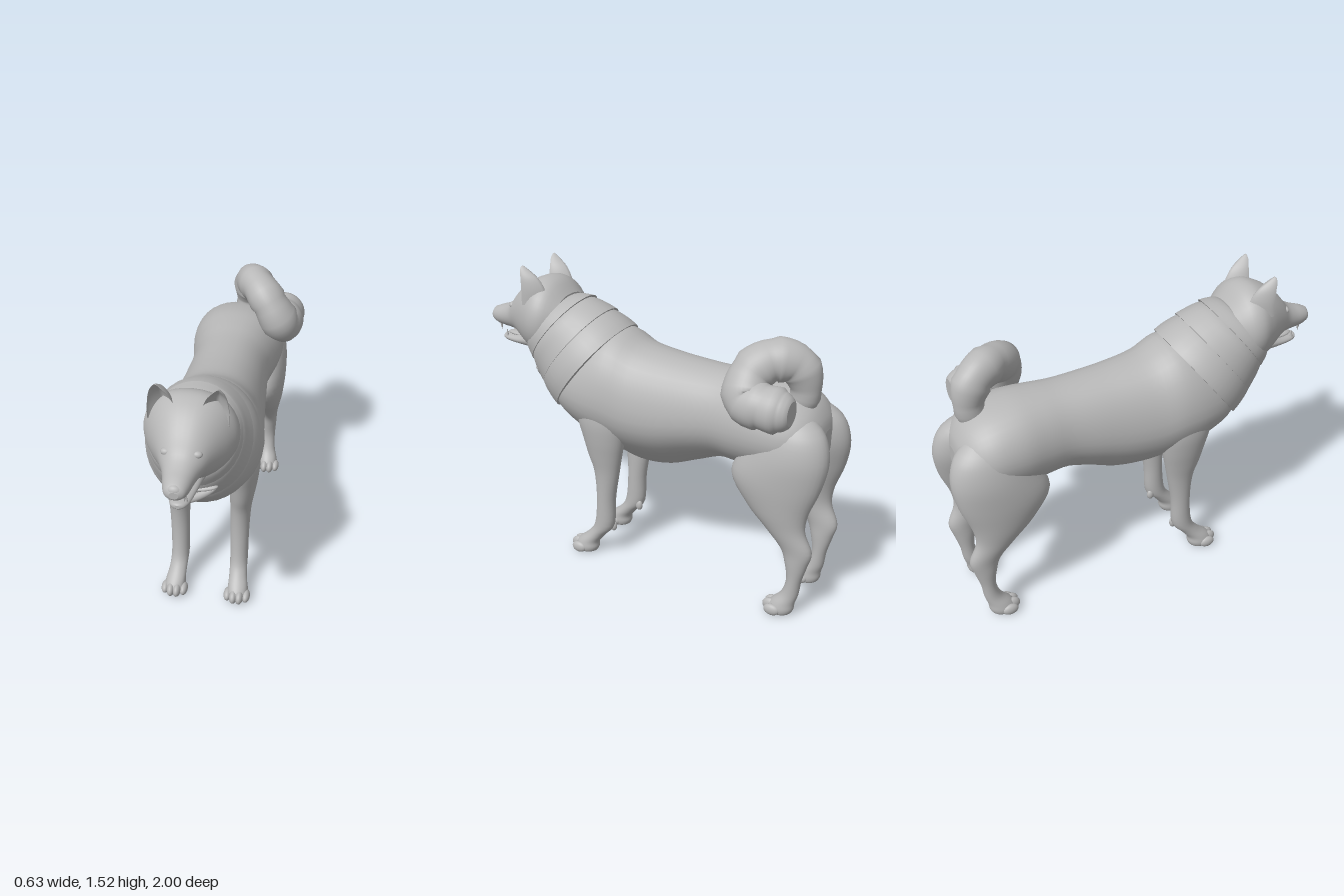
import * as THREE from 'three';

const fur = new THREE.MeshStandardMaterial({ color: 0xb8b8b8 });
fur.name = 'grey fur';
const SIDES = 36;

// Smoothly interpolates rows of numbers (Catmull-Rom), n steps per gap
function smooth(rows, n = 4) {
  const out = [], last = rows.length - 1;
  for (let i = 0; i < last; i++) {
    const [a, b, c, d] = [rows[Math.max(i - 1, 0)], rows[i], rows[i + 1], rows[Math.min(i + 2, last)]];
    for (let k = 0; k < n; k++) {
      const t = k / n;
      out.push(b.map((v, j) => v + 0.5 * t * (c[j] - a[j] + t * (2 * a[j] - 5 * v + 4 * c[j] - d[j] + t * (3 * (v - c[j]) + d[j] - a[j])))));
    }
  }
  out.push(rows[last]);
  return out;
}

// Closed skin over rings of points, wound outward
function loft(name, rings) {
  const pos = [], idx = [], n = rings[0].length;
  rings.forEach(r => r.forEach(p => pos.push(p.x, p.y, p.z)));
  for (let i = 0; i < rings.length - 1; i++) {
    for (let j = 0; j < n; j++) {
      const a = i * n + j, b = i * n + (j + 1) % n;
      idx.push(a, b, a + n, b, b + n, a + n);
    }
  }
  [0, rings.length - 1].forEach((r, end) => {
    const c = rings[r].reduce((s, p) => s.add(p), new THREE.Vector3()).divideScalar(n);
    const base = pos.length / 3;
    rings[r].forEach(p => pos.push(p.x, p.y, p.z));
    pos.push(c.x, c.y, c.z);
    for (let j = 0; j < n; j++) {
      const a = base + j, b = base + (j + 1) % n;
      if (end) idx.push(a, b, base + n); else idx.push(b, a, base + n);
    }
  });
  const at = i => new THREE.Vector3().fromArray(pos, i * 3);
  let volume = 0;
  for (let i = 0; i < idx.length; i += 3) volume += at(idx[i]).dot(at(idx[i + 1]).cross(at(idx[i + 2])));
  if (volume < 0) idx.reverse();
  const g = new THREE.BufferGeometry();
  g.setAttribute('position', new THREE.Float32BufferAttribute(pos, 3));
  g.setIndex(idx);
  g.computeVertexNormals();
  const m = new THREE.Mesh(g, fur);
  m.name = name;
  return m;
}

const ring = f => Array.from({ length: SIDES }, (_, i) => {
  const a = i / SIDES * Math.PI * 2;
  return f(Math.cos(a), Math.sin(a));
});

// Upright section: [z, top, bottom, halfWidth, keel], keel > 1 narrows the underside
const crossRing = ([z, top, bot, w, keel = 0.9]) => ring((c, s) => new THREE.Vector3(
  w * Math.sign(c) * Math.pow(Math.abs(c), s < 0 ? keel : 0.9), (top + bot) / 2 + s * (top - bot) / 2, z));

// Level section: [x, y, z, rx, rz]
const levelRing = side => ([x, y, z, rx, rz]) => ring((c, s) => new THREE.Vector3(side * (x + rx * c), y, z + rz * s));

// Leaning neck section: [y, z, halfHeight, halfWidth]
const neckRing = ([y, z, h, w]) => ring((c, s) => new THREE.Vector3(w * c, y + 0.8 * h * s, z - 0.6 * h * s));

function blob(name, x, y, z, rx, ry, rz) {
  const m = new THREE.Mesh(new THREE.SphereGeometry(1, 20, 14), fur);
  m.name = name;
  m.position.set(x, y, z);
  m.scale.set(rx, ry, rz);
  return m;
}

export function createModel() {
  const root = new THREE.Group();
  root.name = 'dog';
  const dog = new THREE.Group();
  dog.name = 'body';
  dog.position.x = -0.035;
  root.add(dog);

  // Trunk from chest to rump, keeled along the belly
  dog.add(loft('trunk', smooth([
    [0.5, 1.05, 0.772, 0.18, 1.1], [0.42, 1.15, 0.7, 0.235, 1.3], [0.3, 1.22, 0.61, 0.265, 1.8], [0.18, 1.243, 0.56, 0.268, 2.1],
    [0.05, 1.19, 0.54, 0.248, 2.2], [-0.1, 1.168, 0.56, 0.23, 2.1], [-0.25, 1.157, 0.62, 0.215, 1.9], [-0.4, 1.152, 0.68, 0.205, 1.5],
    [-0.52, 1.157, 0.69, 0.22, 1.2], [-0.65, 1.157, 0.7, 0.242, 1.1], [-0.78, 1.13, 0.72, 0.238, 1],
    [-0.87, 1.08, 0.74, 0.2, 1], [-0.92, 1.01, 0.78, 0.14, 1], [-0.935, 0.95, 0.84, 0.06, 1]]).map(crossRing)));

  // Overlapping neck fur layers
  dog.add(loft('shoulderRuff', smooth([[1.15, 0.52, 0.22, 0.2], [1.09, 0.45, 0.273, 0.245], [1.045, 0.39, 0.292, 0.268], [1.01, 0.345, 0.298, 0.275]]).map(neckRing)));
  dog.add(loft('neckRuff', smooth([[1.2, 0.58, 0.19, 0.18], [1.17, 0.54, 0.233, 0.216], [1.13, 0.49, 0.262, 0.234], [1.095, 0.445, 0.278, 0.25]]).map(neckRing)));
  dog.add(loft('cheekRuff', smooth([[1.23, 0.64, 0.14, 0.15], [1.21, 0.6, 0.195, 0.2], [1.18, 0.545, 0.235, 0.22]]).map(neckRing)));

  // Head and jaws
  dog.add(loft('head', smooth([
    [0.5, 1.37, 1.12, 0.16], [0.56, 1.43, 1.05, 0.205], [0.62, 1.45, 1.035, 0.213], [0.68, 1.435, 1.045, 0.188],
    [0.74, 1.4, 1.075, 0.152], [0.8, 1.345, 1.115, 0.114], [0.85, 1.285, 1.127, 0.085], [0.9, 1.255, 1.13, 0.069],
    [0.95, 1.237, 1.135, 0.058], [0.985, 1.22, 1.15, 0.044], [1, 1.2, 1.165, 0.02]]).map(crossRing)));
  dog.add(loft('lowerJaw', smooth([
    [0.66, 1.16, 1.04, 0.1], [0.74, 1.13, 1.043, 0.078], [0.82, 1.1, 1.045, 0.06],
    [0.89, 1.09, 1.048, 0.046], [0.925, 1.087, 1.055, 0.03], [0.935, 1.08, 1.062, 0.01]]).map(crossRing)));
  dog.add(blob('tongue', 0, 1.096, 0.83, 0.035, 0.014, 0.08));
  dog.add(blob('nose', 0, 1.198, 0.978, 0.034, 0.026, 0.022));

  for (const side of [1, -1]) {
    const label = side > 0 ? 'left' : 'right';
    dog.add(blob(label + 'Eye', side * 0.067, 1.275, 0.822, 0.024, 0.017, 0.018));

    // Ear with a hollowed front
    dog.add(loft(label + 'Ear', smooth([
      [0.115, 1.33, 0.625, 0.065, 0.065], [0.118, 1.4, 0.63, 0.06, 0.06],
      [0.125, 1.46, 0.65, 0.045, 0.044], [0.132, 1.5, 0.68, 0.024, 0.022], [0.135, 1.52, 0.695, 0.006, 0.005]])
      .map(([x, y, z, rx, rz]) => ring((c, s) => new THREE.Vector3(
        side * (x + rx * c), y, z + rz * (s > 0 ? 0.8 * Math.abs(c) - 0.25 * s : s + 0.8 * Math.abs(c)))))));

    // Canine teeth
    for (const [y, z, flip] of [[1.125, 0.935, Math.PI], [1.1, 0.9, 0]]) {
      const tooth = new THREE.Mesh(new THREE.ConeGeometry(0.008, 0.04, 8), fur);
      tooth.name = label + 'Tooth';
      tooth.position.set(side * 0.033, y, z);
      tooth.rotation.x = flip;
      dog.add(tooth);
    }

    // Legs
    dog.add(loft(label + 'FrontLeg', smooth([
      [0.13, 1.03, 0.22, 0.06, 0.1], [0.15, 0.93, 0.22, 0.085, 0.14], [0.168, 0.81, 0.212, 0.085, 0.14],
      [0.169, 0.7, 0.203, 0.075, 0.118],
      [0.165, 0.6, 0.2, 0.062, 0.095], [0.158, 0.5, 0.195, 0.053, 0.07], [0.155, 0.35, 0.203, 0.048, 0.052],
      [0.155, 0.19, 0.215, 0.046, 0.055], [0.158, 0.12, 0.262, 0.045, 0.05],
      [0.164, 0.07, 0.31, 0.05, 0.06], [0.166, 0.035, 0.322, 0.055, 0.068], [0.166, 0.01, 0.325, 0.048, 0.058],
      [0.166, 0.002, 0.325, 0.03, 0.035]]).map(levelRing(side))));
    dog.add(loft(label + 'HindLeg', smooth([
      [0.09, 1.05, -0.78, 0.05, 0.08], [0.115, 0.97, -0.805, 0.1, 0.155], [0.132, 0.85, -0.79, 0.12, 0.208],
      [0.15, 0.71, -0.75, 0.107, 0.228], [0.162, 0.57, -0.77, 0.08, 0.158], [0.165, 0.47, -0.815, 0.058, 0.104],
      [0.16, 0.37, -0.878, 0.045, 0.08], [0.158, 0.29, -0.883, 0.042, 0.057], [0.157, 0.2, -0.877, 0.038, 0.038],
      [0.158, 0.12, -0.86, 0.04, 0.044], [0.164, 0.07, -0.83, 0.048, 0.06], [0.166, 0.035, -0.818, 0.054, 0.068],
      [0.166, 0.01, -0.815, 0.048, 0.058], [0.166, 0.002, -0.815, 0.03, 0.035]])
      .map(levelRing(side))));
    for (const [part, z] of [['FrontToe', 0.362], ['HindToe', -0.777]]) {
      for (let i = 0; i < 4; i++) {
        const inner = i === 1 || i === 2;
        dog.add(blob(label + part, side * (0.117 + i * 0.032), inner ? 0.035 : 0.03, z + (inner ? 0.006 : -0.015),
          0.021, inner ? 0.035 : 0.03, 0.042));
      }
    }
    dog.add(blob(label + 'Dewclaw', side * 0.13, 0.17, 0.178, 0.016, 0.03, 0.02));
  }

  // Curled tail with overlapping tufts: [x, y, z, radius]
  const path = smooth([
    [0.035, 1.03, -0.79, 0.06], [0.035, 1.14, -0.825, 0.075], [0.05, 1.255, -0.788, 0.097], [0.105, 1.285, -0.69, 0.102],
    [0.175, 1.23, -0.615, 0.105], [0.235, 1.125, -0.62, 0.112], [0.245, 1.11, -0.71, 0.108],
    [0.245, 1.105, -0.8, 0.1], [0.245, 1.105, -0.85, 0.06]], 5);
  const points = path.map(p => new THREE.Vector3(...p));
  dog.add(loft('tail', points.map((p, i) => {
    const t = points[Math.min(i + 1, points.length - 1)].clone().sub(points[Math.max(i - 1, 0)]).normalize();
    const across = new THREE.Vector3(1, 0.5, 0).addScaledVector(t, -t.x - 0.5 * t.y).normalize();
    const up = t.clone().cross(across);
    const r = path[i][3] * (0.95 + 0.1 * (i % 5) / 4);
    return ring((c, s) => p.clone().addScaledVector(across, 0.9 * r * c).addScaledVector(up, r * s));
  })));

  // Pendant hanging on the chest
  const drop = blob('pendant', 0.04, 0.915, 0.645, 0.09, 0.022, 0.022);
  drop.rotation.z = 0.6;
  const bar = blob('pendantClasp', 0.035, 0.96, 0.645, 0.09, 0.016, 0.03);
  bar.rotation.z = 0.15;
  dog.add(drop, bar);
  return root;
}
